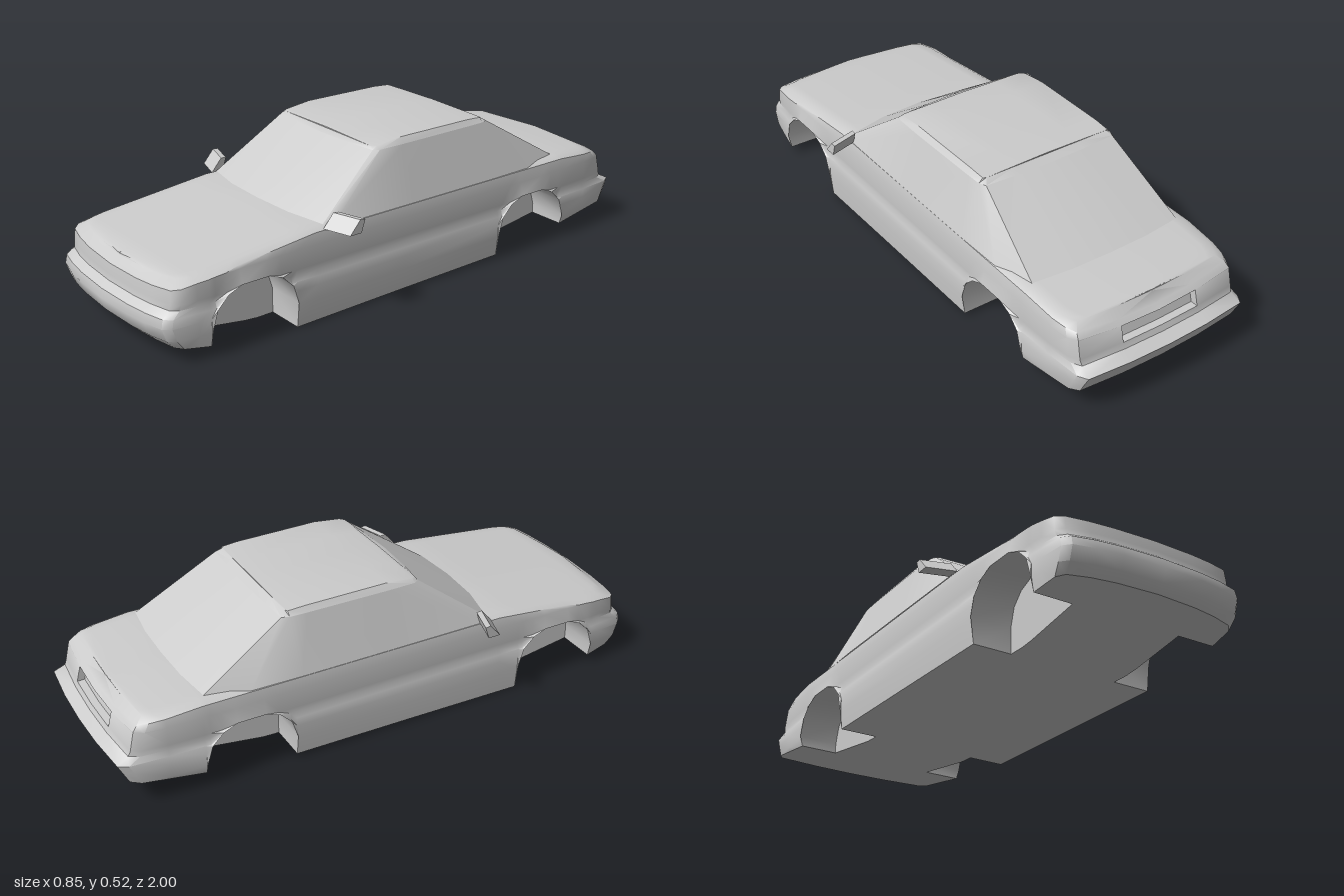
import * as THREE from 'three';
import { toCreasedNormals } from 'three/addons/utils/BufferGeometryUtils.js';

const material = new THREE.MeshStandardMaterial({ color: 0xcccccc, side: THREE.DoubleSide });

// Piecewise linear interpolation through [z, y] points in rising z
function lerpPath(points, z) {
  if (z <= points[0][0]) return points[0][1];
  for (let i = 1; i < points.length; i++) {
    const [z0, y0] = points[i - 1], [z1, y1] = points[i];
    if (z <= z1) return y0 + (y1 - y0) * (z - z0) / (z1 - z0);
  }
  return points[points.length - 1][1];
}
const deckY = z => lerpPath([[-0.95, 0.255], [-0.9, 0.297], [-0.7, 0.315], [0.41, 0.315], [0.88, 0.266], [0.96, 0.25]], z);
const floorY = z => lerpPath([[-0.95, 0.09], [-0.43, 0.015], [0.1, 0.008], [0.57, 0], [0.96, 0.06]], z);
const roofY = z => lerpPath([[-0.37, 0.512], [-0.25, 0.52], [0, 0.519], [0.12, 0.506]], z);

// Skin a grid of points (rows from low to high, columns from front to back), on both sides
function skin(name, grid, row0, row1, col0, col1, crease = 0.6) {
  const positions = [];
  const triangle = (a, b, c) => {
    const area = new THREE.Triangle(a, b, c).getArea();
    if (area > 1e-7) positions.push(...a, ...b, ...c);
  };
  for (const side of [1, -1]) {
    const at = (i, j) => new THREE.Vector3(grid[i][j].x * side, grid[i][j].y, grid[i][j].z);
    for (let i = row0; i < row1; i++) {
      for (let j = col0; j < col1; j++) {
        const a = at(i, j), b = at(i, j + 1), c = at(i + 1, j + 1), d = at(i + 1, j);
        if (side > 0) { triangle(a, b, c); triangle(a, c, d); }
        else { triangle(a, c, b); triangle(a, d, c); }
      }
    }
  }
  const geometry = new THREE.BufferGeometry();
  geometry.setAttribute('position', new THREE.Float32BufferAttribute(positions, 3));
  const mesh = new THREE.Mesh(toCreasedNormals(geometry, crease), material);
  mesh.name = name;
  return mesh;
}

// Plan outline: nose columns, side columns with wheel openings, tail columns
function bodyColumns() {
  const arch = [[0.16, 0.09], [0.14, 0.155], [0.1, 0.195], [0.05, 0.215],
    [-0.05, 0.215], [-0.1, 0.195], [-0.14, 0.155], [-0.16, 0.09]];
  const well = centre => [
    { f: 1, z: centre + 0.16 },
    ...arch.map(([dz, y]) => ({ f: 1, z: centre + dz, arch: y })),
    { f: 1, z: centre - 0.16 }];
  return [
    { f: 0, nose: 0 }, { f: 0.43, nose: 0.007 }, { f: 0.68, nose: 0.018 },
    { f: 0.9, nose: 0.036 }, { f: 0.965, nose: 0.06 }, { f: 0.985, z: 0.85 },
    ...well(0.65), { f: 1, z: 0.41 }, { f: 1, z: 0.05 }, ...well(-0.54),
    { f: 0.985, z: -0.82 }, { f: 0.955, tail: 0.05 }, { f: 0.9, tail: 0.018 },
    { f: 0.44, tail: 0.004 }, { f: 0.435, tail: 0.004, plate: true }, { f: 0, tail: 0, plate: true }];
}

function bodyGrid(columns) {
  // Height, half width, front reach and rear reach of each outer row
  const rows = [
    { y: 0, w: 0.337, front: 0.958, back: -0.945 },
    { y: 0.085, w: 0.343, front: 0.985, back: -0.965 },
    { y: 0.13, w: 0.343, front: 1, back: -0.985 },
    { y: 0.16, w: 0.341, front: 0.994, back: -1 },
    { y: 0.18, w: 0.334, front: 0.968, back: -0.96 },
    { y: 0.2, w: 0.338, front: 0.964, back: -0.952 },
    { y: 0.202, w: 0.338, front: 0.964, back: -0.952, plate: true },
    { y: 0.262, w: 0.336, front: 0.96, back: -0.938, plate: true },
    { y: 0.264, w: 0.336, front: 0.96, back: -0.938 },
    { drop: 0.012, w: 0.329, front: 0.951, back: -0.922 },
    { drop: 0, w: 0.308, front: 0.925, back: -0.898 }];
  const columnZ = (c, r) => c.nose !== undefined ? r.front - c.nose
    : c.tail !== undefined ? r.back + c.tail : c.z;
  const outer = rows.map(r => columns.map(c => {
    let z = columnZ(c, r), x = c.f * r.w;
    const base = c.arch ?? floorY(z);
    let y = r.drop !== undefined ? deckY(z) - r.drop : Math.min(r.y, deckY(z) - 0.014);
    if (y <= base) {
      y = base;
      if (c.arch) x = 0.348; // flared lip
    }
    if (r.plate && c.plate) z += 0.025;
    return new THREE.Vector3(x, y, z);
  }));
  // Floor pan and inner wheel well walls
  const under = [0, 0.2].map(limit => outer[0].map(p => new THREE.Vector3(Math.min(limit, p.x), floorY(p.z), p.z)));
  const wall = outer[0].map(p => new THREE.Vector3(Math.min(0.2, p.x), p.y, p.z));
  // Bonnet and boot surface, slightly crowned
  const top = outer[outer.length - 1];
  const deck = [0.88, 0.5, 0].map(s =>
    top.map(p => new THREE.Vector3(p.x * s, p.y + 0.006 * (1 - s * s), p.z)));
  return [...under, wall, ...outer, ...deck];
}

function cabinGrid() {
  // Base x, y, z, then upper x, z
  const columns = [
    [0, 0.315, 0.415, 0, 0.14], [0.16, 0.314, 0.406, 0.135, 0.135], [0.312, 0.308, 0.376, 0.255, 0.12],
    [0.329, 0.305, 0.345, 0.268, 0.1], [0.33, 0.305, 0, 0.27, 0], [0.33, 0.305, -0.35, 0.268, -0.3],
    [0.326, 0.305, -0.53, 0.266, -0.36], [0.293, 0.312, -0.685, 0.255, -0.385],
    [0.15, 0.318, -0.7, 0.13, -0.392], [0, 0.32, -0.703, 0, -0.395]];
  const base = columns.map(([x, y, z]) => new THREE.Vector3(x, y, z));
  const edge = columns.map(c => new THREE.Vector3(c[3], 0.495, c[4]));
  const rail = edge.map(p => {
    const z = THREE.MathUtils.clamp(p.z, -0.365, 0.115);
    return new THREE.Vector3(p.x * 0.945, roofY(z) - 0.003, z);
  });
  const roof = [0.5, 0].map(s => rail.map(p => new THREE.Vector3(p.x * s, p.y + 0.004 * (1 - s), p.z)));
  return [base, edge, rail, ...roof];
}

// Wedge-shaped door mirror swept slightly back towards its tip
function doorMirror(side) {
  const outline = new THREE.Shape([[0.365, 0.306], [0.32, 0.306], [0.305, 0.35], [0.325, 0.352]]
    .map(([z, y]) => new THREE.Vector2(z, y)));
  const geometry = new THREE.ExtrudeGeometry(outline, { depth: 0.1, bevelEnabled: false });
  geometry.rotateY(-Math.PI / 2).translate(side > 0 ? 0.425 : -0.325, 0, 0);
  const p = geometry.attributes.position;
  for (let i = 0; i < p.count; i++) p.setZ(i, p.getZ(i) - (Math.abs(p.getX(i)) - 0.36) * 0.3);
  geometry.computeVertexNormals();
  const mesh = new THREE.Mesh(geometry, material);
  mesh.name = side > 0 ? 'leftMirror' : 'rightMirror';
  return mesh;
}

export function createModel() {
  const car = new THREE.Group();
  car.name = 'carBody';

  // Lower body: floor with wheel wells, then sides, bumpers, bonnet and boot
  const columns = bodyColumns(), body = bodyGrid(columns), last = columns.length - 1;
  car.add(skin('floorAndWheelWells', body, 0, 3, 0, last, 0.5));
  car.add(skin('bodyShell', body, 3, body.length - 1, 0, last, 0.7));

  // Cabin
  const cabin = cabinGrid();
  car.add(skin('windscreen', cabin, 0, 1, 0, 2));
  car.add(skin('sideWindowsAndPillars', cabin, 0, 1, 2, 7));
  car.add(skin('rearWindow', cabin, 0, 1, 7, 9));
  car.add(skin('roof', cabin, 1, 4, 0, 9));

  car.add(doorMirror(1), doorMirror(-1));
  return car;
}
